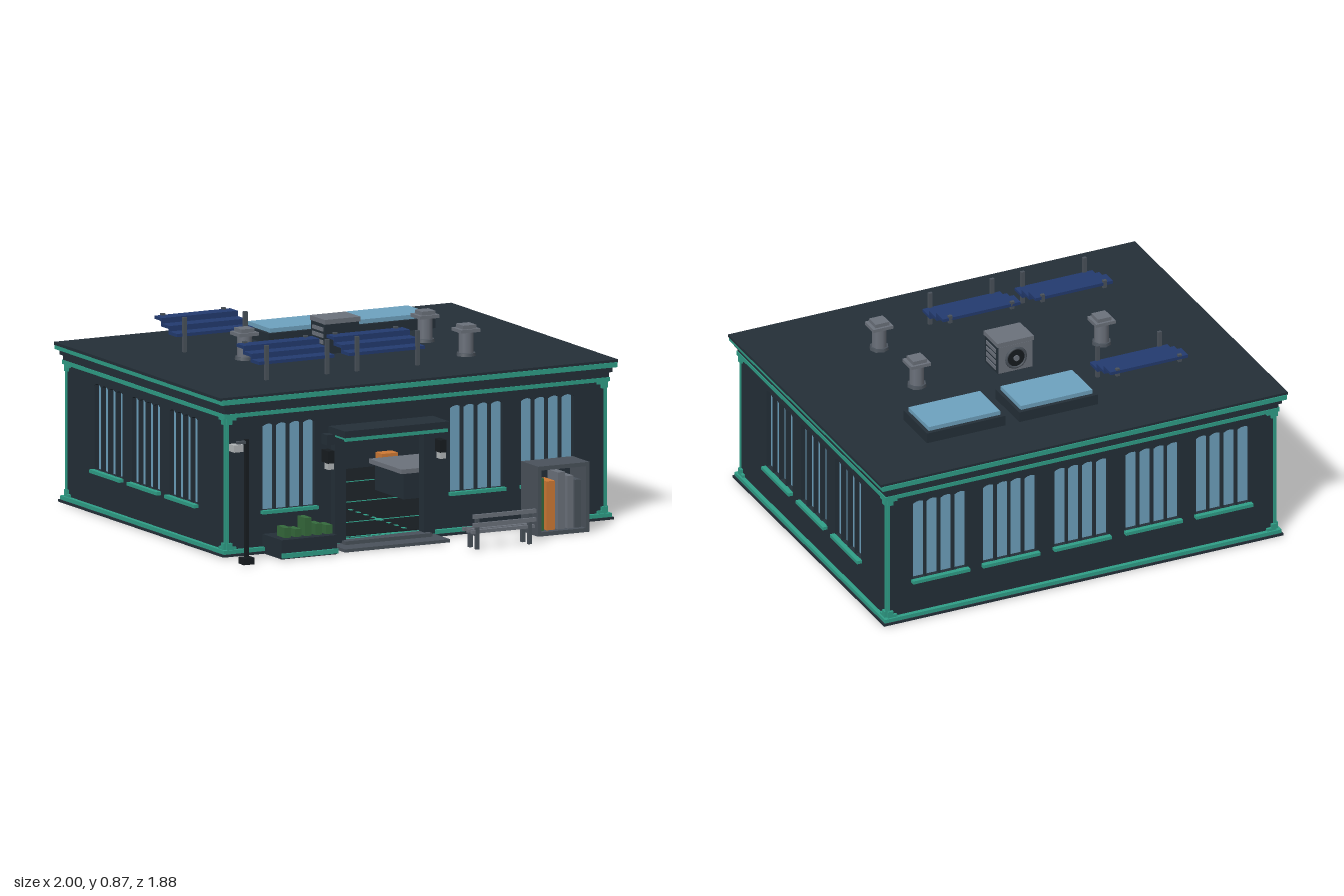
import * as THREE from 'three';

export function createModel() {
  const root = new THREE.Group();
  const mat = (name, color, side = THREE.FrontSide) => {
    const m = new THREE.MeshStandardMaterial({ color, side });
    m.name = name;
    return m;
  };
  const dark = mat('slate', 0x242f38), black = mat('charcoal', 0x171c20), teal = mat('teal', 0x2f9f88),
    glass = mat('glass blue', 0x6ea2bf), navy = mat('panel navy', 0x233b70), gray = mat('steel', 0x6c727c),
    iron = mat('iron', 0x4a525b), green = mat('leaf green', 0x356a3c), orange = mat('orange', 0xcf7a35),
    pale = mat('pale gray', 0xb4b8ba);

  const add = (parent, name, geo, m) => {
    const mesh = new THREE.Mesh(geo, m);
    mesh.name = name;
    parent.add(mesh);
    return mesh;
  };
  const group = (name, parent = root) => {
    const g = new THREE.Group();
    g.name = name;
    parent.add(g);
    return g;
  };
  // Box given by its minimum and maximum on each axis
  const box = (p, name, m, x0, x1, y0, y1, z0, z1) => {
    const b = add(p, name, new THREE.BoxGeometry(x1 - x0, y1 - y0, z1 - z0), m);
    b.position.set((x0 + x1) / 2, (y0 + y1) / 2, (z0 + z1) / 2);
    return b;
  };
  const cyl = (p, name, m, r0, r1, h, x, y, z, n = 12) => {
    const c = add(p, name, new THREE.CylinderGeometry(r0, r1, h, n), m);
    c.position.set(x, y, z);
    return c;
  };

  const CX = 0.016, CZ = -0.175, HX = 0.94, HZ = 0.735;
  const layer = (name, m, e, y0, y1) => box(root, name, m, CX - HX - e, CX + HX + e, y0, y1, CZ - HZ - e, CZ + HZ + e);

  // Walls with arched window openings and recessed glass
  const rectPath = (P, u0, u1, y0, y1, rise) => {
    const s = new P();
    s.moveTo(u0, y0);
    s.lineTo(u1, y0);
    s.lineTo(u1, y1 - rise);
    if (rise) s.quadraticCurveTo((u0 + u1) / 2, y1 + rise, u0, y1 - rise);
    else s.lineTo(u0, y1);
    s.lineTo(u0, y0);
    return s;
  };
  const wall = (name, half, dist, angle, centres, door) => {
    const g = group(name);
    g.position.set(CX, 0, CZ);
    g.rotation.y = angle;
    const shape = rectPath(THREE.Shape, -half, half, 0.02, 0.68, 0);
    if (door) shape.holes.push(rectPath(THREE.Path, door[0], door[1], 0.03, 0.46, 0));
    for (const c of centres) {
      for (let i = 0; i < 4; i++) {
        const u = c + (i - 1.5) * 0.067;
        shape.holes.push(rectPath(THREE.Path, u - 0.0295, u + 0.0295, 0.19, 0.572, 0.01));
      }
      box(g, 'windowGlass', glass, c - 0.135, c + 0.135, 0.18, 0.585, dist - 0.032, dist - 0.022);
      box(g, 'windowSill', teal, c - 0.138, c + 0.138, 0.175, 0.19, dist - 0.002, dist + 0.022);
    }
    const geo = new THREE.ExtrudeGeometry(shape, { depth: 0.03, bevelEnabled: false, curveSegments: 4 });
    add(g, 'wallPanel', geo, dark).position.z = dist - 0.03;
    // Thin trim and stepped brackets at both ends of the wall
    for (const s of [-1, 1]) {
      const e = s * (half - 0.006);
      box(g, 'cornerTrim', teal, e - 0.006, e + 0.006, 0.03, 0.62, dist, dist + 0.006);
      for (const [w, h] of [[0.045, 0.012], [0.025, 0.03]]) {
        const u = s * (half - w / 2);
        box(g, 'cornerBracket', teal, u - w / 2, u + w / 2, 0.03, 0.03 + h, dist, dist + 0.012);
        box(g, 'cornerBracket', teal, u - w / 2, u + w / 2, 0.615 - h, 0.615, dist, dist + 0.012);
      }
    }
  };
  const sideCentres = [-0.345, 0, 0.345];
  wall('frontWall', HX, HZ, 0, [-0.63, 0.3, 0.65], [-0.366, 0.034]);
  wall('backWall', HX, HZ, Math.PI, [-0.685, -0.345, 0, 0.345, 0.685]);
  wall('rightWall', HZ, HX, -Math.PI / 2, sideCentres);
  wall('leftWall', HZ, HX, Math.PI / 2, sideCentres);

  // Base, floor, cornice and roof
  layer('foundation', dark, 0.026, 0.002, 0.013);
  layer('baseTrim', teal, 0.02, 0.013, 0.03);
  layer('floor', black, -0.03, 0.03, 0.033);
  layer('corniceTrim', teal, 0.014, 0.614, 0.632);
  layer('cornice', dark, 0.01, 0.632, 0.66);
  layer('corniceStep', dark, 0.022, 0.655, 0.678);
  layer('roofTrim', teal, 0.038, 0.678, 0.7);
  box(root, 'roof', dark, -0.968, 1, 0.698, 0.711, -0.943, 0.593);

  // Floor inlays, shown on both faces of the floor
  const inlays = group('floorInlays');
  for (const [y0, y1] of [[0, 0.003], [0.032, 0.035]]) {
    for (const z of [-0.6, -0.175, 0.25]) {
      box(inlays, 'inlayLine', teal, -0.88, 0.91, y0, y1, z - 0.005, z + 0.005);
      for (const x of [-0.6, 0, 0.6]) {
        const n = cyl(inlays, 'inlayNode', teal, 0.03, 0.03, y1 - y0, x, (y0 + y1) / 2, z, 4);
        n.scale.set(1, 1, 1);
      }
    }
    for (const x of [-0.6, 0, 0.6])
      for (let z = -0.85; z < 0.53; z += 0.07) box(inlays, 'inlayDot', teal, x - 0.008, x + 0.008, y0, y1, z - 0.012, z + 0.012);
  }

  // Entrance: frame, canopy, step and lamps
  const porch = group('entrance');
  for (const x of [-0.385, 0.055]) box(porch, 'doorPost', dark, x - 0.02, x + 0.035, 0.02, 0.49, 0.555, 0.6);
  box(porch, 'header', dark, -0.45, 0.135, 0.46, 0.505, 0.55, 0.61);
  box(porch, 'canopy', dark, -0.417, 0.1, 0.505, 0.535, 0.55, 0.712);
  box(porch, 'canopyTrim', teal, -0.412, 0.095, 0.488, 0.507, 0.697, 0.708);
  for (const x of [-0.412, 0.085]) box(porch, 'canopySideTrim', teal, x, x + 0.01, 0.495, 0.507, 0.56, 0.7);
  box(porch, 'step', iron, -0.42, 0.1, 0, 0.014, 0.56, 0.72);
  box(porch, 'upperStep', iron, -0.37, 0.06, 0.01, 0.03, 0.56, 0.63);
  for (const x of [-0.435, 0.12]) {
    box(porch, 'lampBody', black, x - 0.016, x + 0.016, 0.38, 0.435, 0.56, 0.62);
    box(porch, 'lampShade', pale, x - 0.014, x + 0.014, 0.352, 0.38, 0.585, 0.618);
  }

  // Interior display counter with shelves and bottles
  const shop = group('displayCounter');
  box(shop, 'cabinet', dark, -0.38, 0.06, 0.03, 0.14, -0.78, -0.6);
  for (const x of [-0.28, -0.16, -0.04]) {
    const k = cyl(shop, 'cabinetHandle', iron, 0.03, 0.03, 0.008, x, 0.08, -0.598);
    k.rotation.x = Math.PI / 2;
    k.scale.z = 0.5;
  }
  for (const y of [0.165, 0.245]) {
    box(shop, 'shelfBoard', pale, -0.345, 0.03, y, y + 0.015, -0.76, -0.62);
    for (let i = 0; i < 6; i++) {
      const m = [green, pale, black, iron, orange, dark][(i + (y > 0.2 ? 0 : 2)) % 6];
      cyl(shop, 'bottle', m, 0.007, 0.011, 0.045, -0.31 + i * 0.062, y + 0.037, -0.68, 8);
    }
  }
  box(shop, 'shelfPost', dark, -0.19, -0.12, 0.03, 0.45, -0.79, -0.76);
  const inside = group('furniture');
  box(inside, 'table', dark, 0.32, 0.68, 0, 0.15, -0.38, -0.12);
  box(inside, 'tableTop', gray, 0.3, 0.7, 0.15, 0.17, -0.4, -0.1);
  box(inside, 'tableFoot', gray, 0.36, 0.64, -0.0, 0.002, -0.22, -0.18).position.y = 0.0015;
  box(inside, 'rug', green, -0.71, -0.43, 0.001, 0.036, -0.34, -0.06);
  for (const [x, z] of [[0.62, -0.83], [-0.65, -0.7], [-0.73, 0.38]])
    box(inside, 'crate', orange, x - 0.04, x + 0.04, 0, 0.1, z - 0.03, z + 0.03);

  // Planter
  const planter = group('planter');
  box(planter, 'planterBox', dark, -0.742, -0.468, 0, 0.085, 0.56, 0.735);
  box(planter, 'planterTrim', teal, -0.742, -0.468, 0.006, 0.026, 0.735, 0.748);
  [0.13, 0.12, 0.165, 0.135, 0.125].forEach((h, i) => {
    const x = -0.69 + i * 0.051;
    box(planter, 'plant', green, x - 0.016, x + 0.016, 0.08, h, 0.625, 0.695);
  });

  // Bench
  const bench = group('bench');
  for (const z of [0.83, 0.872, 0.906]) box(bench, 'seatSlat', gray, 0.1, 0.41, 0.07, 0.085, z, z + 0.018);
  for (const y of [0.1, 0.138]) box(bench, 'backSlat', gray, 0.1, 0.41, y, y + 0.018, 0.924, 0.936);
  for (const x of [0.125, 0.385]) {
    box(bench, 'frontLeg', iron, x - 0.009, x + 0.009, 0, 0.072, 0.85, 0.868);
    box(bench, 'backLeg', iron, x - 0.009, x + 0.009, 0, 0.155, 0.912, 0.926);
    box(bench, 'seatBearer', iron, x - 0.007, x + 0.007, 0.058, 0.07, 0.832, 0.92);
  }

  // Outdoor rack with upright boards
  const rack = group('rack');
  for (const x of [0.5, 0.737]) box(rack, 'rackSide', iron, x, x + 0.018, 0, 0.31, 0.63, 0.785);
  box(rack, 'rackTop', iron, 0.5, 0.755, 0.292, 0.31, 0.63, 0.785);
  box(rack, 'rackBottom', iron, 0.5, 0.755, 0, 0.018, 0.63, 0.785);
  box(rack, 'rackBack', dark, 0.51, 0.745, 0.01, 0.3, 0.63, 0.64);
  [[0.535, 0.02, 0.25, green], [0.58, 0.042, 0.235, orange], [0.632, 0.036, 0.27, gray],
    [0.676, 0.03, 0.25, gray], [0.713, 0.03, 0.23, iron]].forEach(([x, w, h, m]) =>
    box(rack, 'board', m, x - w / 2, x + w / 2, 0.018, h, 0.66, 0.755));
  for (const y of [0.06, 0.21]) box(rack, 'rackRail', orange, 0.518, 0.737, y, y + 0.012, 0.642, 0.66);

  // Street lamp
  const lamp = group('streetLamp');
  box(lamp, 'lampBase', black, -0.952, -0.9, 0, 0.03, 0.73, 0.778);
  box(lamp, 'lampPole', black, -0.934, -0.918, 0.03, 0.553, 0.747, 0.763);
  box(lamp, 'lampArm', iron, -0.975, -0.918, 0.535, 0.547, 0.747, 0.763);
  box(lamp, 'lampHead', pale, -1, -0.953, 0.503, 0.535, 0.732, 0.778);

  // Stepped solar panels: centre x and front edge z
  for (const [x, z] of [[-0.432, -0.457], [-0.432, 0.297], [0.015, 0.297]]) {
    const g = group('solarPanel');
    g.position.set(x, 0, z);
    for (let i = 0; i < 3; i++) {
      const y = 0.78 + i * 0.024;
      box(g, 'panelSlat', navy, -0.188, 0.188, y, y + 0.014, -0.069 * (i + 1), -0.069 * i);
      if (i) box(g, 'panelRiser', navy, -0.188, 0.188, y - 0.024, y + 0.014, -0.069 * i - 0.006, -0.069 * i);
    }
    for (const s of [-1, 1]) {
      box(g, 'frontPost', iron, s * 0.15 - 0.009, s * 0.15 + 0.009, 0.71, 0.865, -0.006, 0.008);
      box(g, 'backPost', iron, s * 0.15 - 0.009, s * 0.15 + 0.009, 0.815, 0.85, -0.207, -0.192);
    }
  }

  // Skylights
  for (const x of [0.016, 0.462]) {
    const g = group('skylight');
    box(g, 'skylightCurb', dark, x - 0.19, x + 0.19, 0.71, 0.758, -0.683, -0.443);
    box(g, 'skylightGlass', glass, x - 0.173, x + 0.173, 0.757, 0.777, -0.664, -0.46);
  }

  // Roof vents
  for (const [x, z] of [[-0.432, -0.185], [0.462, -0.185], [0.462, 0.193]]) {
    const g = group('roofVent');
    cyl(g, 'ventFoot', iron, 0.042, 0.045, 0.015, x, 0.717, z, 8);
    cyl(g, 'ventPipe', gray, 0.034, 0.034, 0.11, x, 0.77, z, 8);
    box(g, 'ventCap', gray, x - 0.048, x + 0.048, 0.818, 0.833, z - 0.044, z + 0.044);
    box(g, 'ventTop', gray, x - 0.033, x + 0.033, 0.833, 0.85, z - 0.033, z + 0.033);
  }

  // Rooftop air unit with a fan at the back
  const unit = group('airUnit');
  box(unit, 'unitBody', dark, -0.068, 0.1, 0.71, 0.843, -0.248, -0.118);
  box(unit, 'unitTop', gray, -0.072, 0.104, 0.843, 0.864, -0.252, -0.114);
  box(unit, 'unitBackPanel', gray, -0.066, 0.098, 0.715, 0.843, -0.253, -0.247);
  for (const x of [-0.068, 0.1])
    for (let i = 0; i < 4; i++) box(unit, 'unitLouvre', gray, x - 0.004, x + 0.004, 0.725 + i * 0.028, 0.742 + i * 0.028, -0.23, -0.135);
  const ring = add(unit, 'fanRing', new THREE.TorusGeometry(0.046, 0.007, 6, 20), iron);
  ring.position.set(0.016, 0.778, -0.256);
  cyl(unit, 'fan', black, 0.044, 0.044, 0.006, 0.016, 0.778, -0.255, 20).rotation.x = Math.PI / 2;
  cyl(unit, 'fanHub', gray, 0.014, 0.014, 0.012, 0.016, 0.778, -0.258, 10).rotation.x = Math.PI / 2;

  return root;
}
